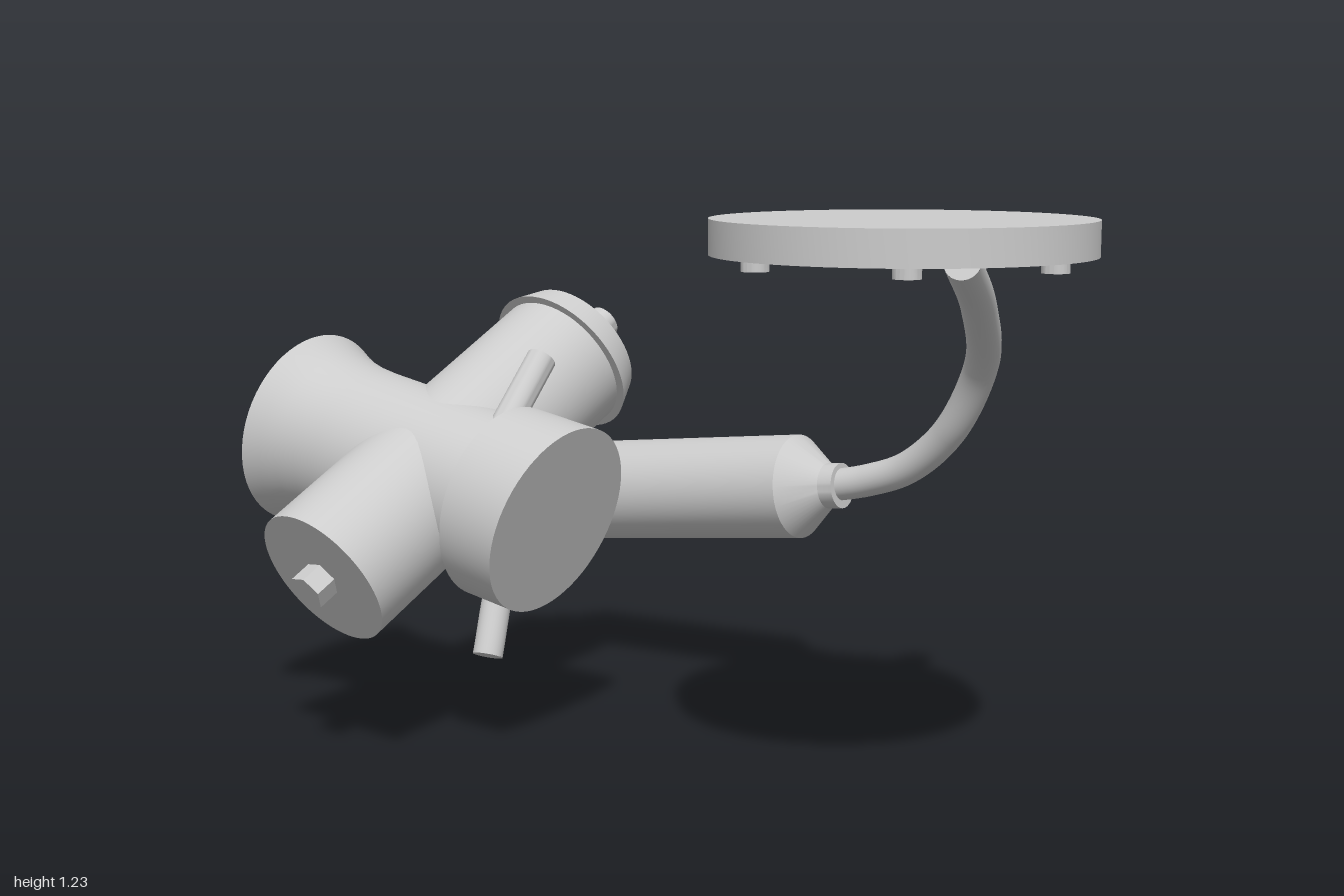
import * as THREE from 'three';
import { toCreasedNormals } from 'three/addons/utils/BufferGeometryUtils.js';

const V = (x, y, z) => new THREE.Vector3(x, y, z);
const UP = V(0, 1, 0);

export function createModel() {
  const model = new THREE.Group();
  const grey = new THREE.MeshStandardMaterial({ color: 0xcccccc });
  grey.name = 'light grey';

  const add = (name, geometry) => {
    const mesh = new THREE.Mesh(geometry, grey);
    mesh.name = name;
    model.add(mesh);
    return mesh;
  };

  // Lays a geometry built along +y from one point towards another
  const aim = (mesh, from, to) => {
    mesh.position.copy(from);
    mesh.quaternion.setFromUnitVectors(UP, to.clone().sub(from).normalize());
    return mesh;
  };

  // Closed turned part; profile rows are [fraction of the length, radius]
  const turned = (name, from, to, profile, segments = 48) => {
    const length = from.distanceTo(to);
    const points = profile.map(([t, r]) => new THREE.Vector2(r, t * length));
    points.unshift(new THREE.Vector2(0, points[0].y));
    points.push(new THREE.Vector2(0, points[points.length - 1].y));
    const lathe = new THREE.LatheGeometry(points, segments, Math.PI / 2);
    return aim(add(name, toCreasedNormals(lathe, 0.45)), from, to);
  };
  const rod = (name, from, to, r, segments = 32) =>
    turned(name, from, to, [[0, r], [1, r]], segments);

  // Bent pipe with a flat cap on its free end
  const pipe = (name, points, r) => {
    const curve = new THREE.CatmullRomCurve3(points.map((p) => V(...p)));
    add(name, new THREE.TubeGeometry(curve, 64, r, 28));
    const cap = add(name + 'End', new THREE.CircleGeometry(r, 28));
    cap.position.copy(curve.getPoint(1));
    cap.quaternion.setFromUnitVectors(V(0, 0, 1), curve.getTangent(1));
  };

  // Round plate with six studs underneath
  const cx = 0.625, cz = 0.22;
  rod('plate', V(cx, 1.17, cz), V(cx, 1.24, cz), 0.375, 96);
  for (let i = 0; i < 6; i++) {
    const a = (i * Math.PI) / 3;
    const x = cx + 0.32 * Math.cos(a), z = cz + 0.32 * Math.sin(a);
    rod('plateStud', V(x, 1.148, z), V(x, 1.172, z), 0.027, 20);
  }

  // Canister with conical ends and collars
  turned('canister', V(-0.81, 0.452, -0.52), V(0.07, 0.553, -0.52), [
    [0, 0.055], [0.045, 0.055], [0.146, 0.127],
    [0.866, 0.127], [0.957, 0.055], [1, 0.055],
  ]);

  // Pipes leaving both ends of the canister
  pipe('supplyPipe', [
    [0.04, 0.55, -0.52], [0.14, 0.573, -0.522], [0.25, 0.615, -0.515],
    [0.37, 0.715, -0.492], [0.475, 0.88, -0.435], [0.56, 1.03, -0.245],
    [0.625, 1.14, -0.035],
  ], 0.039);
  pipe('tailPipe', [
    [-0.79, 0.455, -0.52], [-0.85, 0.425, -0.512], [-0.9, 0.35, -0.487],
    [-0.925, 0.21, -0.43], [-0.908, 0.022, -0.347],
  ], 0.04);

  // Main barrel with a flared left end
  const mainStart = V(-0.96, 0.7, 0.22), mainEnd = V(-0.36, 0.583, 0.22);
  turned('mainBarrel', mainStart, mainEnd, [
    [0, 0.228], [0.06, 0.212], [0.13, 0.198], [0.21, 0.19], [0.3, 0.187], [1, 0.187],
  ], 64);

  // Wider right cap, cut at a slant
  const capStart = V(-0.372, 0.582, 0.22), capEnd = V(-0.225, 0.554, 0.22);
  const capLength = capStart.distanceTo(capEnd);
  const wedge = new THREE.CylinderGeometry(0.22, 0.22, capLength, 64);
  wedge.translate(0, capLength / 2, 0);
  const p = wedge.attributes.position;
  for (let i = 0; i < p.count; i++) {
    if (p.getY(i) > capLength / 2) p.setY(i, p.getY(i) - 0.13 * p.getX(i));
  }
  aim(add('slantedCap', toCreasedNormals(wedge, 0.45)), capStart, capEnd);

  // Cross barrel running from the low front to the high back
  const front = V(-0.607, 0.44, 0.5625), rim = V(-0.51, 0.85, -0.164), back = V(-0.503, 0.884, -0.223);
  rod('crossBarrel', front, rim, 0.17, 64);
  turned('crossBarrelLid', rim, back, [[0, 0.188], [1, 0.162]], 64);

  // Fittings on the barrels
  const axis = back.clone().sub(front).normalize();
  rod('lidStub', back.clone().addScaledVector(axis, -0.02), back.clone().addScaledVector(axis, 0.108), 0.04);
  rod('hexBolt', front.clone().addScaledVector(axis, 0.02), front.clone().addScaledVector(axis, -0.052), 0.044, 6);
  rod('sideStub', V(-0.365, 0.75, 0.23), V(-0.362, 0.893, 0.095), 0.034);

  return model;
}
